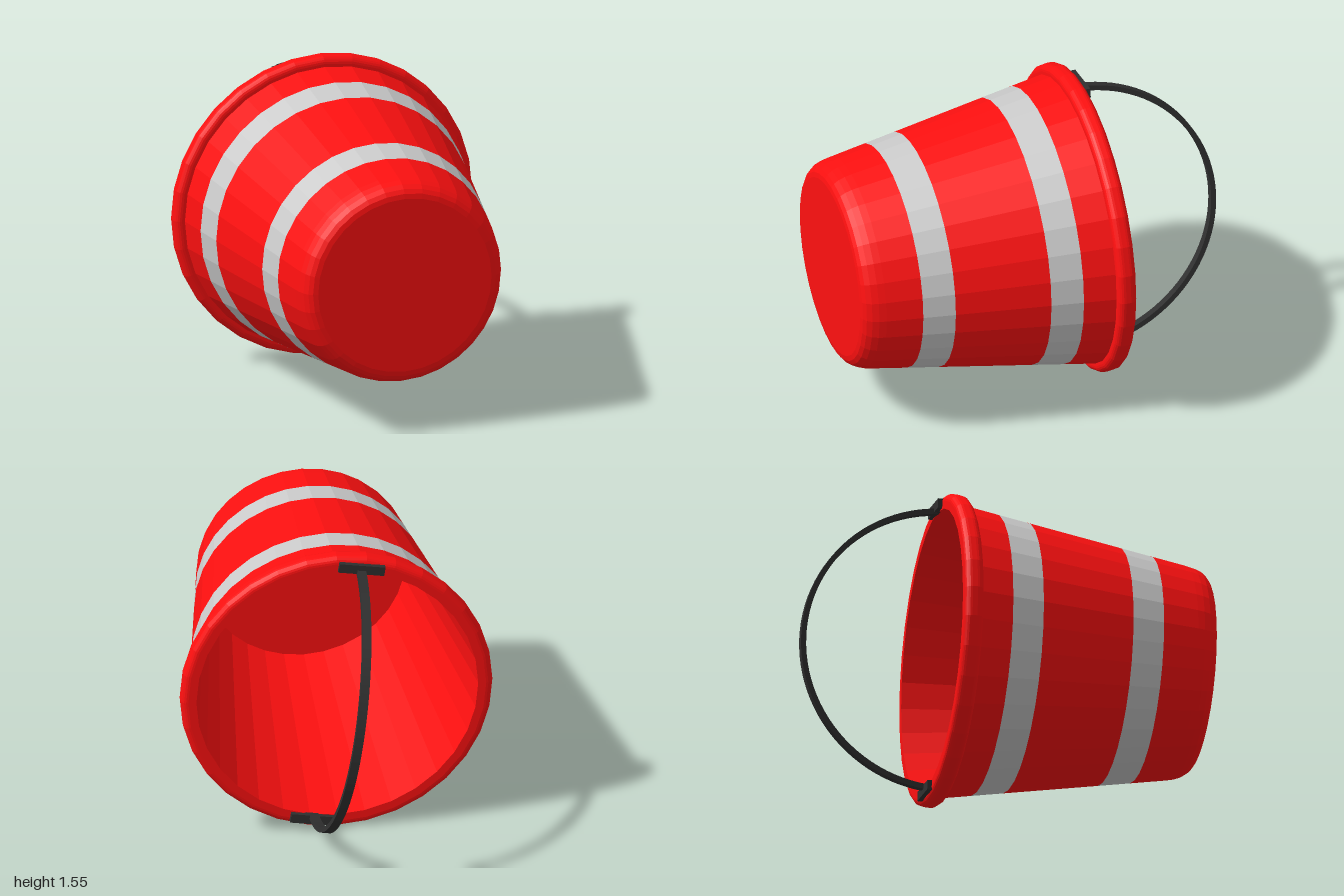
import * as THREE from 'three';

const SIDES = 32;
const AXIS_Y = 0.78; // height of the bucket's axis as it lies on its side

const material = (color) => new THREE.MeshStandardMaterial({ color, flatShading: true });

// Revolves [radius, z] points around the z axis
function revolve(name, points, mat) {
  const geometry = new THREE.LatheGeometry(points.map(([r, z]) => new THREE.Vector2(r, z)), SIDES);
  geometry.rotateX(Math.PI / 2);
  const mesh = new THREE.Mesh(geometry, mat);
  mesh.name = name;
  return mesh;
}

// Quarter-turn corner as [radius, z] points
function corner(r, z, radius, from, to, steps = 5) {
  return Array.from({ length: steps + 1 }, (_, i) => {
    const a = from + ((to - from) * i) / steps;
    return [r + Math.cos(a) * radius, z + Math.sin(a) * radius];
  });
}

// Radius of the tapered outer wall at z
const wallRadius = (z) => 0.725 - 0.171 * (z + 0.24);
const wall = (z) => [wallRadius(z), z];

export function createModel() {
  const group = new THREE.Group();
  const bucket = new THREE.Group();
  bucket.name = 'bucket';
  bucket.position.y = AXIS_Y;
  group.add(bucket);

  const red = material(0xff1010);
  const grey = material(0xcccccc);
  const black = material(0x303030);

  // Inside floor and wall, rolled rim, and the outer wall down to the first band
  bucket.add(revolve('innerWallAndRim', [
    [0, 0.87], [0.505, 0.87], [0.7, -0.335],
    ...corner(0.74, -0.3, 0.035, -Math.PI / 2, 0),
    ...corner(0.74, -0.275, 0.035, 0, Math.PI / 2),
    wall(-0.24), wall(-0.08),
  ], red));

  // Flush bands and the walls between them
  bucket.add(revolve('upperBand', [wall(-0.08), wall(0.08)], grey));
  bucket.add(revolve('middleWall', [wall(0.08), wall(0.55)], red));
  bucket.add(revolve('lowerBand', [wall(0.55), wall(0.71)], grey));

  // Lower wall with a rounded edge into the flat base
  bucket.add(revolve('base', [
    wall(0.71), wall(0.89),
    [0.524, 0.925], [0.512, 0.957], [0.495, 0.981], [0.475, 0.995], [0.45, 1],
    [0, 1],
  ], red));

  // Handle assembly, turned slightly around the bucket's axis
  const handle = new THREE.Group();
  handle.name = 'handleAssembly';
  handle.rotation.z = THREE.MathUtils.degToRad(9.6);
  bucket.add(handle);

  // Flat strap bent into a half circle
  const outer = 0.72, inner = 0.694, width = 0.044, start = 0.08;
  const arc = new THREE.Shape();
  arc.absarc(0, 0, outer, start, Math.PI - start, false);
  arc.absarc(0, 0, inner, Math.PI - start, start, true);
  const strapGeometry = new THREE.ExtrudeGeometry(arc, { depth: width, bevelEnabled: false, curveSegments: 24 });
  strapGeometry.translate(0, 0, -width / 2);
  // arc x -> y, arc y -> -z, depth -> -x
  strapGeometry.applyMatrix4(new THREE.Matrix4().makeBasis(
    new THREE.Vector3(0, 1, 0), new THREE.Vector3(0, 0, -1), new THREE.Vector3(-1, 0, 0)));
  const strap = new THREE.Mesh(strapGeometry, black);
  strap.name = 'handle';
  strap.position.z = -0.28;
  handle.add(strap);

  // Mounting plates on the rim
  for (const side of [1, -1]) {
    const plate = new THREE.Mesh(new THREE.BoxGeometry(0.23, 0.048, 0.03), black);
    plate.name = side > 0 ? 'topHandleMount' : 'bottomHandleMount';
    plate.position.set(0, side * 0.72, -0.342);
    handle.add(plate);
  }

  return group;
}
